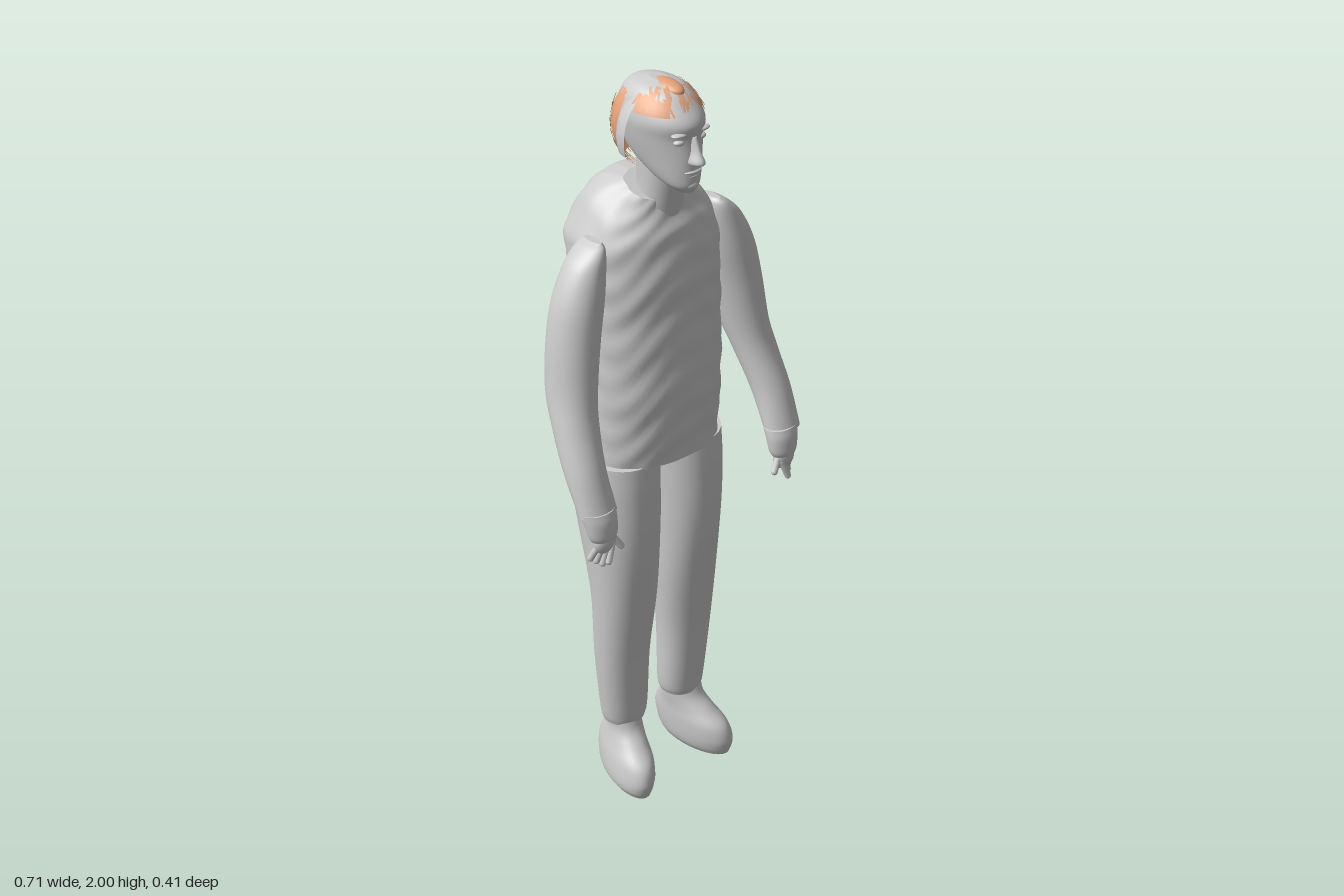
import * as THREE from 'three';
import { mergeGeometries } from 'three/addons/utils/BufferGeometryUtils.js';

const grey = new THREE.MeshStandardMaterial({ color: 0xcccccc, side: THREE.DoubleSide });
grey.name = 'plain grey';
const tan = new THREE.MeshStandardMaterial({ color: 0xe3a27a, side: THREE.DoubleSide });
tan.name = 'hair tan';

// Smooth body from rows [y, centreX, centreZ, radiusX, radiusZ], listed bottom to top.
// side mirrors the centres, dx shifts them, power below 1 makes the section boxier.
function loft(rows, { side = 1, dx = 0, power = 1, sides = 32, steps = 5, rule } = {}) {
  const centres = new THREE.CatmullRomCurve3(
    rows.map(r => new THREE.Vector3(r[1] * side + dx, r[0], r[2])), false, 'catmullrom', 0.5);
  const radii = new THREE.CatmullRomCurve3(
    rows.map(r => new THREE.Vector3(r[3], r[4], 0)), false, 'catmullrom', 0.5);
  const n = (rows.length - 1) * steps;
  const pos = [], idx = [];
  const bend = v => Math.sign(v) * Math.abs(v) ** power;
  const point = (t, a) => {
    const c = centres.getPoint(t), r = radii.getPoint(t);
    const p = new THREE.Vector3(c.x + r.x * bend(Math.cos(a)), c.y, c.z + r.y * bend(Math.sin(a)));
    if (rule) rule(p, a);
    return p;
  };
  for (let k = 0; k <= n; k++)
    for (let i = 0; i < sides; i++) pos.push(...point(k / n, i / sides * Math.PI * 2));
  for (let k = 0; k < n; k++)
    for (let i = 0; i < sides; i++) {
      const a = k * sides + i, b = k * sides + (i + 1) % sides;
      idx.push(a, a + sides, b, b, a + sides, b + sides);
    }
  // End caps use their own corners so the rims stay crisp
  for (const end of [0, 1]) {
    const base = pos.length / 3, mid = new THREE.Vector3();
    for (let i = 0; i < sides; i++) {
      const p = point(end, i / sides * Math.PI * 2);
      mid.addScaledVector(p, 1 / sides);
      pos.push(...p);
    }
    pos.push(...mid);
    for (let i = 0; i < sides; i++) {
      const a = base + i, b = base + (i + 1) % sides;
      if (end) idx.push(a, base + sides, b);
      else idx.push(a, b, base + sides);
    }
  }
  const g = new THREE.BufferGeometry();
  g.setAttribute('position', new THREE.Float32BufferAttribute(pos, 3));
  g.setIndex(idx);
  g.computeVertexNormals();
  return g;
}

// Joins pieces, keeping only positions and normals
const join = pieces => mergeGeometries(pieces.map(g => g.deleteAttribute('uv')));

// Ellipsoid or a patch of one
function ball(c, r, phi = [0, Math.PI * 2], theta = [0, Math.PI]) {
  return new THREE.SphereGeometry(1, 28, 16, phi[0], phi[1] - phi[0], theta[0], theta[1] - theta[0])
    .scale(...r).translate(...c);
}

// Rounded finger between two points
function finger(a, b, r) {
  const p = new THREE.Vector3(...a), q = new THREE.Vector3(...b), d = q.clone().sub(p);
  const turn = new THREE.Quaternion().setFromUnitVectors(new THREE.Vector3(0, 1, 0), d.clone().normalize());
  return new THREE.CapsuleGeometry(r, d.length(), 4, 10).applyQuaternion(turn)
    .translate(...p.add(q).multiplyScalar(0.5));
}

// Loose locks lying over an ellipsoid
function locks(count, c, r, phi, theta, length, seed) {
  const rand = () => (seed = (seed * 16807) % 2147483647) / 2147483647;
  const pos = [], idx = [];
  for (let k = 0; k < count; k++) {
    const p0 = phi[0] + rand() * (phi[1] - phi[0]), t0 = theta[0] + rand() * (theta[1] - theta[0]);
    const drift = (rand() - 0.5) * 0.5, lift = 1 + rand() * 0.05;
    for (let j = 0; j <= 3; j++) {
      const t = t0 + length * j / 3, w = 0.07 * (1 - j / 4);
      for (const s of [-1, 1]) {
        const p = p0 + drift * j / 3 + s * w;
        pos.push(c[0] - r[0] * lift * Math.cos(p) * Math.sin(t), Math.min(1.998, c[1] + r[1] * lift * Math.cos(t)),
          c[2] + r[2] * lift * Math.sin(p) * Math.sin(t));
      }
      const a = k * 8 + j * 2;
      if (j < 3) idx.push(a, a + 2, a + 1, a + 1, a + 2, a + 3);
    }
  }
  const g = new THREE.BufferGeometry();
  g.setAttribute('position', new THREE.Float32BufferAttribute(pos, 3));
  g.setIndex(idx);
  g.computeVertexNormals();
  return g;
}

export function createModel() {
  const model = new THREE.Group();
  model.name = 'standingMan';
  const add = (name, geometry, material = grey) => {
    const m = new THREE.Mesh(geometry, material);
    m.name = name;
    model.add(m);
  };

  // Jacket with soft creases and a collar that dips at the front
  add('jacket', loft([
    [1.01, 0.01, -0.017, 0.185, 0.138], [1.2, 0.012, -0.015, 0.187, 0.144], [1.4, 0.015, -0.03, 0.19, 0.147],
    [1.52, 0.016, -0.043, 0.192, 0.153], [1.6, 0.016, -0.052, 0.187, 0.15], [1.66, 0.014, -0.04, 0.152, 0.126],
    [1.71, 0.01, -0.01, 0.105, 0.085], [1.735, 0.008, 0.012, 0.078, 0.058],
  ], {
    power: 0.85, sides: 64, steps: 10,
    rule: (p, a) => {
      const crease = 0.003 * Math.sin(p.y * 62 + 3 * Math.sin(a * 3)) * Math.sin(a * 5 + p.y * 17);
      p.x += crease * Math.cos(a);
      p.z += crease * Math.sin(a);
      p.y -= p.z * 0.35 * THREE.MathUtils.smoothstep(p.y, 1.6, 1.72);
    },
  }));

  for (const side of [1, -1]) {
    const word = side > 0 ? 'left' : 'right';
    // Sleeve, cuff and hand
    add(word + 'Sleeve', loft([
      [1.0, 0.303, 0.157, 0.052, 0.036], [1.1, 0.303, 0.108, 0.053, 0.05], [1.2, 0.29, 0.06, 0.057, 0.058],
      [1.28, 0.276, 0.03, 0.06, 0.069], [1.4, 0.258, 0.018, 0.064, 0.068], [1.5, 0.237, 0.013, 0.063, 0.064],
      [1.58, 0.213, 0.01, 0.048, 0.054], [1.62, 0.193, 0.008, 0.027, 0.044], [1.635, 0.185, 0.007, 0.01, 0.03],
    ], { side, dx: 0.006 }));
    add(word + 'Cuff', loft([
      [0.935, 0.297, 0.177, 0.034, 0.025], [0.95, 0.297, 0.175, 0.041, 0.029], [0.985, 0.298, 0.168, 0.046, 0.033],
      [1.01, 0.3, 0.158, 0.048, 0.035],
    ], { side }));
    const hand = [ball([side * 0.295, 0.927, 0.181], [0.032, 0.035, 0.02])];
    for (let i = 0; i < 4; i++)
      hand.push(finger([side * (0.279 + i * 0.012), 0.92, 0.19 - i * 0.003],
        [side * (0.297 + i * 0.01), 0.868 + Math.abs(i - 1) * 0.006, 0.197 - i * 0.011], 0.0085));
    hand.push(finger([side * 0.275, 0.935, 0.183], [side * 0.254, 0.9, 0.192], 0.009));
    add(word + 'Hand', join(hand));

    // Trouser leg
    add(word + 'TrouserLeg', loft([
      [0.18, 0.1, 0.002, 0.057, 0.052], [0.22, 0.1, 0.003, 0.066, 0.055], [0.4, 0.106, 0.005, 0.076, 0.065],
      [0.6, 0.102, 0.01, 0.088, 0.08], [0.8, 0.104, -0.007, 0.096, 0.114], [0.93, 0.104, -0.022, 0.102, 0.128],
      [1.015, 0.102, -0.027, 0.102, 0.128],
    ], { side, dx: 0.006, power: 0.93 }));

    // Boot, wider at the toe and turned outward
    add(word + 'Boot', loft([
      [0, 0.118, 0.04, 0.043, 0.108], [0.02, 0.118, 0.038, 0.053, 0.116], [0.05, 0.116, 0.035, 0.056, 0.122],
      [0.09, 0.112, 0.027, 0.054, 0.116], [0.125, 0.107, 0.014, 0.049, 0.088], [0.16, 0.102, 0.006, 0.047, 0.06],
      [0.2, 0.102, 0.002, 0.049, 0.047],
    ], {
      side, dx: 0.007,
      rule: p => {
        const middle = side * 0.11 + 0.007;
        p.x = middle + (p.x - middle) * (1 + p.z * 0.9) + side * p.z * 0.16;
      },
    }));
  }

  // Neck and head
  add('neck', loft([
    [1.64, 0.008, 0.01, 0.065, 0.065], [1.72, 0.008, 0.03, 0.057, 0.058], [1.8, 0.008, 0.035, 0.056, 0.068],
  ]));
  add('head', loft([
    [1.748, 0.008, 0.118, 0.02, 0.024], [1.765, 0.008, 0.1, 0.041, 0.05], [1.79, 0.008, 0.07, 0.056, 0.082],
    [1.83, 0.008, 0.04, 0.069, 0.112], [1.88, 0.008, 0.03, 0.08, 0.118], [1.92, 0.008, 0.03, 0.084, 0.123],
    [1.96, 0.008, 0.022, 0.072, 0.1], [1.985, 0.008, 0.02, 0.05, 0.072], [1.997, 0.008, 0.02, 0.018, 0.028],
  ], { sides: 40 }));

  // Face
  add('nose', loft([
    [1.822, 0.008, 0.145, 0.014, 0.024], [1.832, 0.008, 0.148, 0.018, 0.035], [1.856, 0.008, 0.142, 0.011, 0.028],
    [1.89, 0.008, 0.136, 0.008, 0.018],
  ], { sides: 16 }));
  add('mouthAndChin', join([
    ball([0.008, 1.803, 0.143], [0.025, 0.006, 0.013]),
    ball([0.008, 1.792, 0.14], [0.021, 0.006, 0.013]),
    ball([0.008, 1.768, 0.133], [0.022, 0.015, 0.02]),
  ]));
  for (const side of [1, -1]) {
    const x = 0.008 + side * 0.032;
    add(side > 0 ? 'leftEye' : 'rightEye', ball([x, 1.879, 0.132], [0.015, 0.008, 0.012]));
    add(side > 0 ? 'leftBrow' : 'rightBrow', ball([x, 1.899, 0.135], [0.024, 0.006, 0.014]));
  }

  // Half dome crossing the head from ear to ear
  add('headBand', ball([0.008, 1.866, 0.035], [0.115, 0.126, 0.092], [Math.PI, Math.PI * 2], [0, 1.86]));

  // Hair: base patches with loose locks on top
  const back = [0.008, 1.88, 0], backSize = [0.093, 0.114, 0.097];
  const front = [0.008, 1.884, 0.025], frontSize = [0.1, 0.114, 0.128];
  add('backHair', join([
    ball(back, backSize, [Math.PI + 0.15, Math.PI * 2 - 0.15], [0.75, 2.4]),
    locks(70, back, backSize, [Math.PI + 0.2, Math.PI * 2 - 0.2], [0.7, 2.0], 0.75, 41),
  ]), tan);
  add('fringe', join([
    ball(front, frontSize, [0.1, 1.0], [0.5, 1.08]),
    ball(front, frontSize, [2.14, 3.04], [0.5, 1.08]),
    ball([0.008, 1.982, 0.05], [0.027, 0.018, 0.055]),
    locks(34, front, frontSize, [0.1, 3.04], [0.4, 0.75], 0.38, 97),
  ]), tan);

  return model;
}
